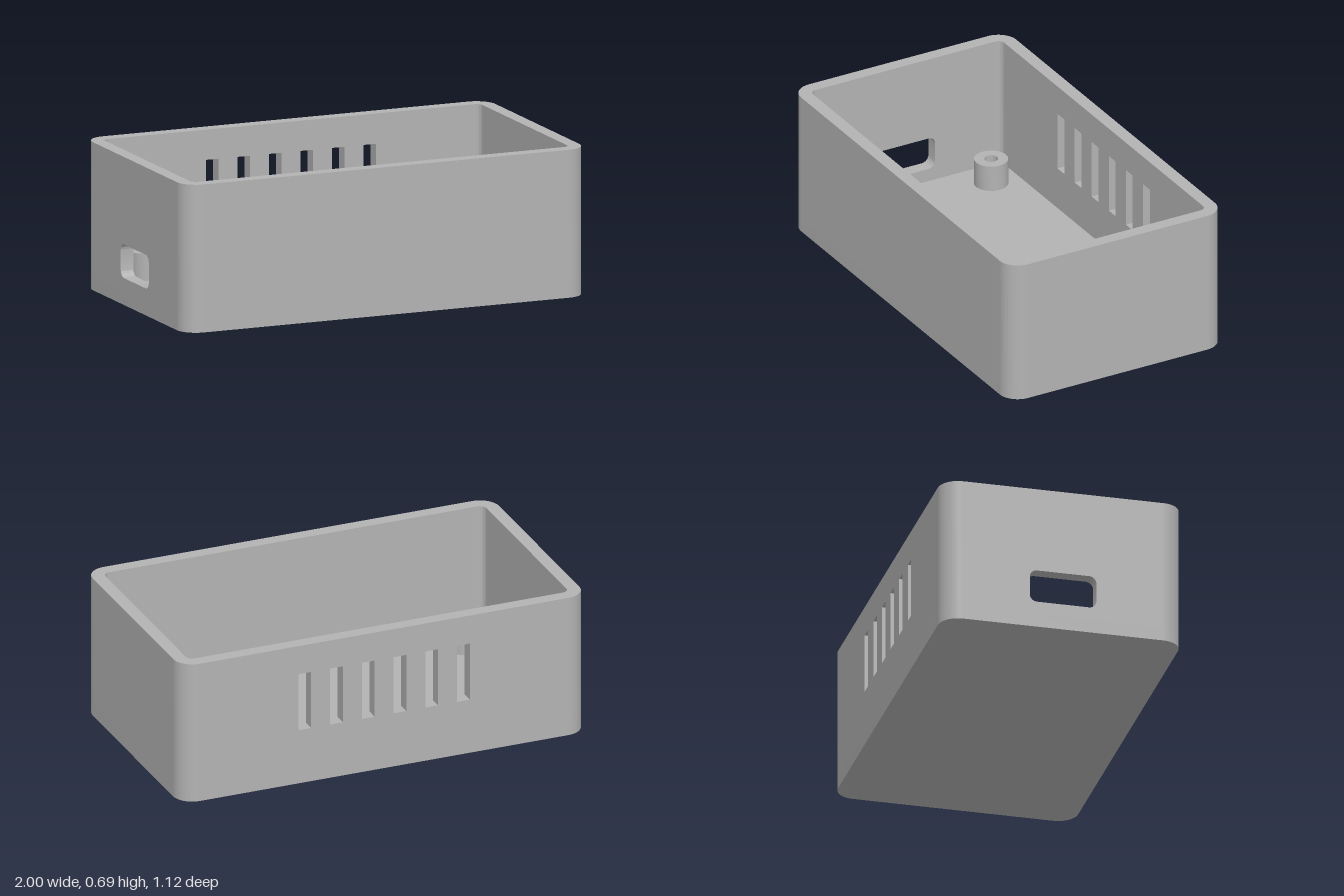
import * as THREE from 'three';
import { toCreasedNormals } from 'three/addons/utils/BufferGeometryUtils.js';

// Overall sizes
const HX = 1, HZ = 0.5625, H = 0.6875;   // half length, half depth, height
const T = 0.0625;                        // wall and floor thickness
const R = 0.09375;                       // outer corner radius

function roundedRect(path, x0, y0, x1, y1, r) {
  path.absarc(x1 - r, y0 + r, r, -Math.PI / 2, 0, false);
  path.absarc(x1 - r, y1 - r, r, 0, Math.PI / 2, false);
  path.absarc(x0 + r, y1 - r, r, Math.PI / 2, Math.PI, false);
  path.absarc(x0 + r, y0 + r, r, Math.PI, Math.PI * 1.5, false);
  path.closePath();
  return path;
}

function rect(path, x0, y0, x1, y1) {
  path.moveTo(x0, y0);
  path.lineTo(x1, y0);
  path.lineTo(x1, y1);
  path.lineTo(x0, y1);
  path.closePath();
  return path;
}

function extrude(shape, depth) {
  const geo = new THREE.ExtrudeGeometry(shape, { depth, bevelEnabled: false, curveSegments: 16 });
  return toCreasedNormals(geo, 0.5);
}

// Extrudes a plan outline upwards from y0 to y1
function upright(shape, y0, y1) {
  return extrude(shape, y1 - y0).rotateX(-Math.PI / 2).translate(0, y0, 0);
}

export function createModel() {
  const model = new THREE.Group();
  model.name = 'enclosure';
  const grey = new THREE.MeshStandardMaterial({ color: 0xb3b3b3 });
  grey.name = 'grey plastic';

  function add(name, geometry, x = 0, z = 0) {
    const mesh = new THREE.Mesh(geometry, grey);
    mesh.name = name;
    mesh.position.set(x, 0, z);
    model.add(mesh);
  }

  // Floor plate
  add('floor', upright(roundedRect(new THREE.Shape(), -HX, -HZ, HX, HZ, R), 0, T));

  // Straight walls between the corners, with their openings
  function wall(name, halfLength, distance, turn, holes = []) {
    const shape = rect(new THREE.Shape(), -halfLength, T, halfLength, H);
    shape.holes.push(...holes);
    add(name, extrude(shape, T).translate(0, 0, distance - T).rotateY(turn));
  }

  const slots = [];
  for (let i = 0; i < 6; i++) {
    const x = (i - 2.5) * 0.15625;
    slots.push(rect(new THREE.Path(), x - 0.03125, 0.266, x + 0.03125, 0.547));
  }
  const port = roundedRect(new THREE.Path(), -0.15625, 0.125, 0.15625, 0.28125, 0.035);

  wall('frontWall', HX - R, HZ, 0);
  wall('backWallWithVents', HX - R, HZ, Math.PI, slots);
  wall('leftWall', HZ - R, HX, Math.PI / 2);
  wall('rightWallWithPort', HZ - R, HX, -Math.PI / 2, [port]);

  // Rounded wall corners
  const corner = new THREE.Shape();
  corner.absarc(0, 0, R, 0, Math.PI / 2, false);
  corner.absarc(0, 0, R - T, Math.PI / 2, 0, true);
  corner.closePath();
  const signs = [[1, -1], [-1, -1], [-1, 1], [1, 1]];
  signs.forEach(([sx, sz], i) => {
    const geo = upright(corner, T, H).rotateY(i * Math.PI / 2);
    add('wallCorner', geo, sx * (HX - R), sz * (HZ - R));
  });

  // Hollow screw posts standing on the floor
  const ring = new THREE.Shape().absarc(0, 0, 0.078, 0, Math.PI * 2, false);
  ring.holes.push(new THREE.Path().absarc(0, 0, 0.03125, 0, Math.PI * 2, true));
  for (const [sx, sz] of signs) {
    add('screwPost', upright(ring, T, 0.1875), sx * 0.78125, sz * 0.359);
  }

  return model;
}
